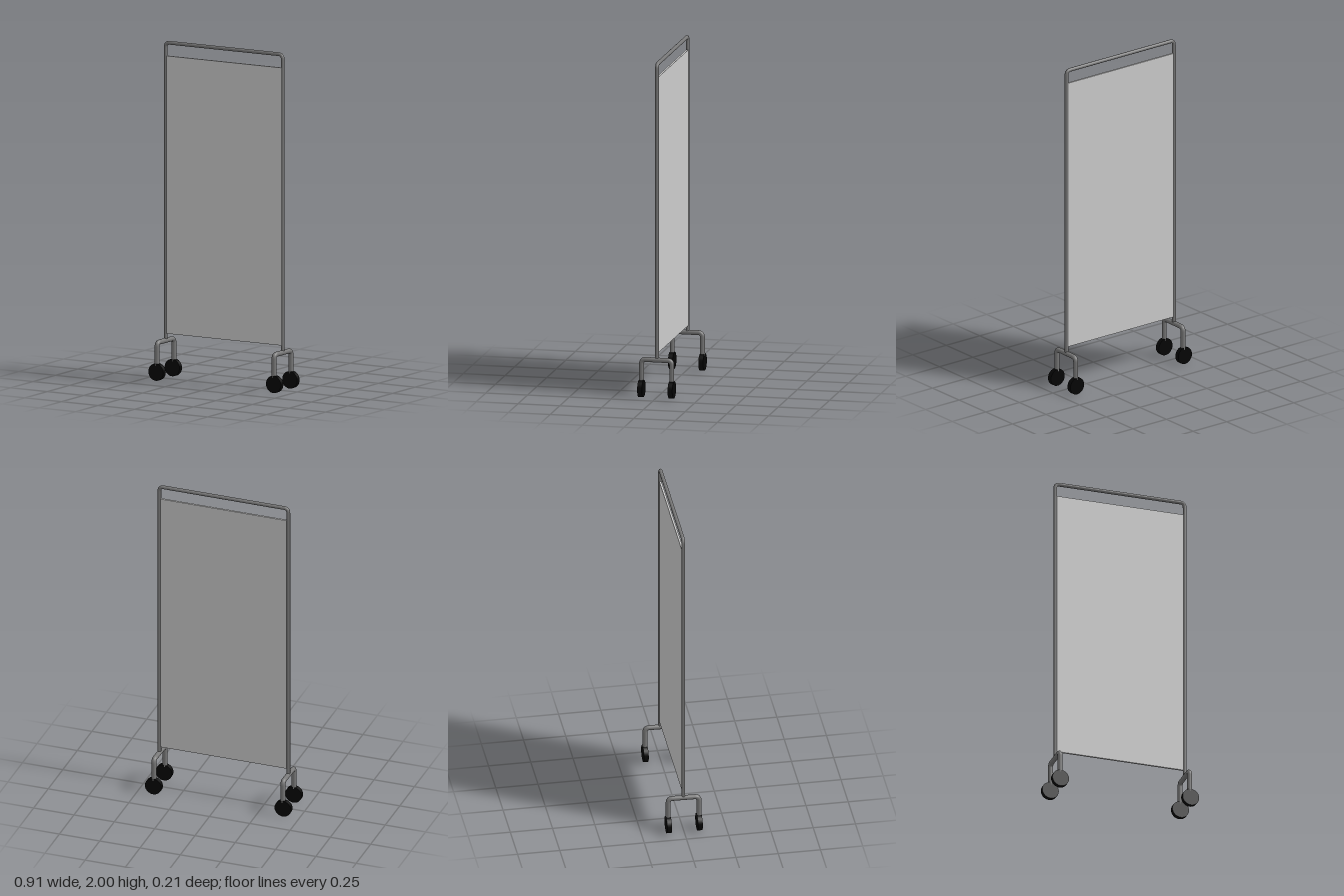
import * as THREE from 'three';

// Upside-down U path with rounded corners, in the XY plane
function archPath(halfWidth, bottom, top, r) {
  const v = (x, y) => new THREE.Vector3(x, y, 0);
  const path = new THREE.CurvePath();
  path.add(new THREE.LineCurve3(v(-halfWidth, bottom), v(-halfWidth, top - r)));
  path.add(new THREE.QuadraticBezierCurve3(v(-halfWidth, top - r), v(-halfWidth, top), v(-halfWidth + r, top)));
  path.add(new THREE.LineCurve3(v(-halfWidth + r, top), v(halfWidth - r, top)));
  path.add(new THREE.QuadraticBezierCurve3(v(halfWidth - r, top), v(halfWidth, top), v(halfWidth, top - r)));
  path.add(new THREE.LineCurve3(v(halfWidth, top - r), v(halfWidth, bottom)));
  return path;
}

export function createModel() {
  const model = new THREE.Group();
  model.name = 'rollingScreen';
  const metal = new THREE.MeshStandardMaterial({ color: 0x777777 });
  const fabric = new THREE.MeshStandardMaterial({ color: 0xcccccc });
  const rubber = new THREE.MeshStandardMaterial({ color: 0x050505 });

  const add = (parent, name, geometry, material, x = 0, y = 0, z = 0) => {
    const mesh = new THREE.Mesh(geometry, material);
    mesh.name = name;
    mesh.position.set(x, y, z);
    parent.add(mesh);
    return mesh;
  };

  // Tall tubular frame
  add(model, 'frame', new THREE.TubeGeometry(archPath(0.4, 0.22, 1.989, 0.026), 400, 0.011, 16), metal, 0, 0, -0.002);

  // Fabric panel stretched between the uprights
  add(model, 'screenPanel', new THREE.BoxGeometry(0.79, 1.644, 0.012), fabric, 0, 1.089, -0.002);

  // Forked foot, turned very slightly, with two wheels under each upright
  const forkGeometry = new THREE.TubeGeometry(archPath(0.091, 0.09, 0.225, 0.026), 120, 0.0145, 16);
  const wheelGeometry = new THREE.CylinderGeometry(0.051, 0.051, 0.028, 32).rotateX(Math.PI / 2);
  for (const side of [-1, 1]) {
    const foot = new THREE.Group();
    foot.name = side > 0 ? 'leftFoot' : 'rightFoot';
    foot.position.x = side * 0.4;
    model.add(foot);
    add(foot, 'fork', forkGeometry, metal).rotation.y = Math.PI / 2 - 0.025;
    for (const end of [-1, 1]) {
      add(foot, end > 0 ? 'frontWheel' : 'backWheel', wheelGeometry, rubber, side * 0.002, 0.052, end * 0.091);
    }
  }
  return model;
}
